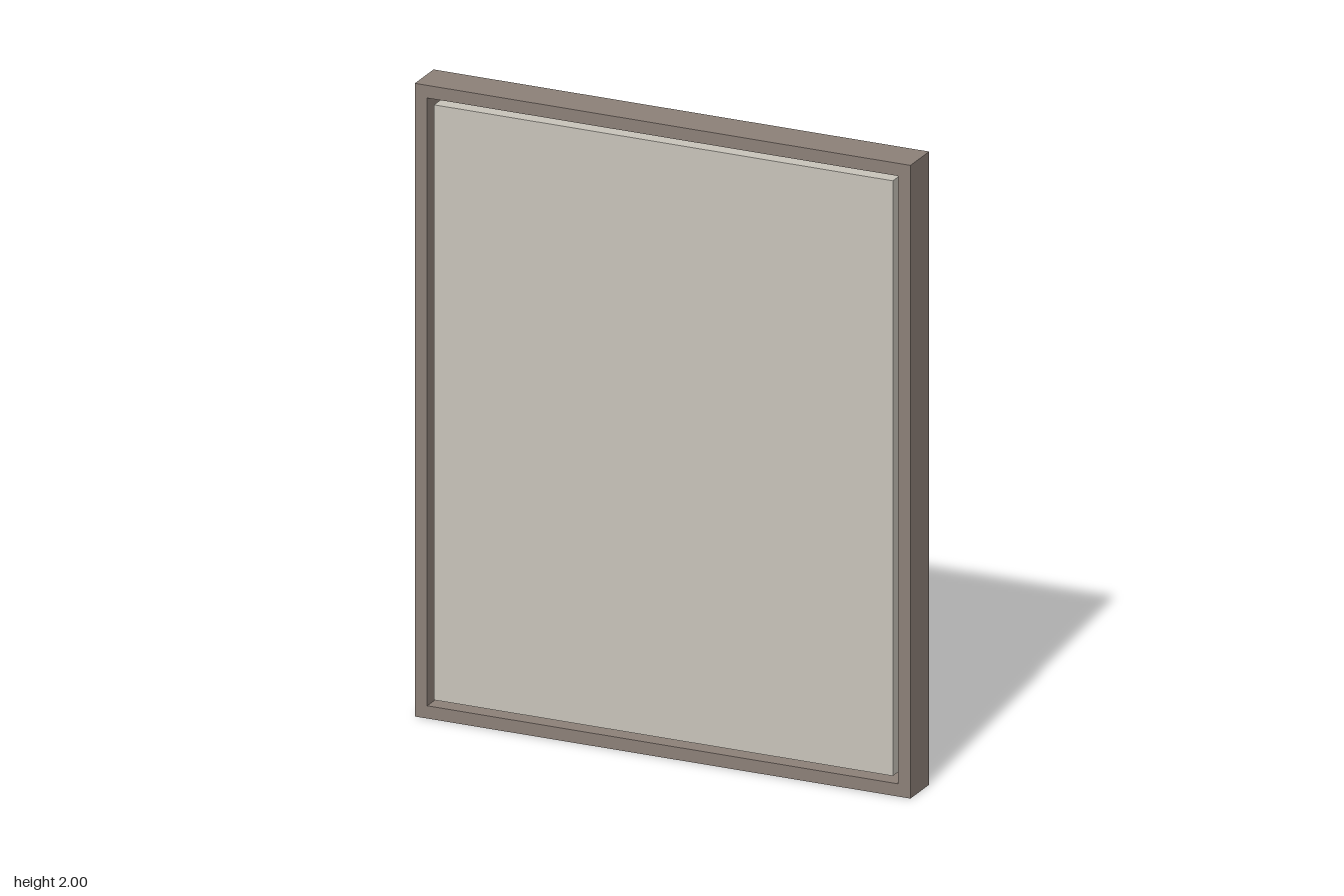
import * as THREE from 'three';

const material = (name, color, side = THREE.FrontSide) => {
  const m = new THREE.MeshStandardMaterial({ color, side });
  m.name = name;
  return m;
};

// Sweeps a closed profile of [inset, z] points around a rectangle with mitred corners.
// Profile order: front from outside to inside, then the inner wall, the back, the outer wall.
function mitredRing(halfW, halfH, profile) {
  const corners = [[1, 1], [-1, 1], [-1, -1], [1, -1]];
  const at = ([sx, sy], [inset, z]) => [sx * (halfW - inset), sy * (halfH - inset), z];
  const positions = [];
  profile.forEach((a, i) => {
    const b = profile[(i + 1) % profile.length];
    corners.forEach((c0, k) => {
      const c1 = corners[(k + 1) % 4];
      positions.push(...at(c0, a), ...at(c1, a), ...at(c1, b));
      positions.push(...at(c0, a), ...at(c1, b), ...at(c0, b));
    });
  });
  const geometry = new THREE.BufferGeometry();
  geometry.setAttribute('position', new THREE.Float32BufferAttribute(positions, 3));
  geometry.computeVertexNormals();
  return geometry;
}

function addMesh(parent, name, geometry, mat, x = 0, y = 0, z = 0) {
  const mesh = new THREE.Mesh(geometry, mat);
  mesh.name = name;
  mesh.position.set(x, y, z);
  parent.add(mesh);
  return mesh;
}

// Wall hanger: two screwed end pads joined by a thin bowed strap (lies along x, rises along y)
function createHanger(metal) {
  const hanger = new THREE.Group();
  hanger.name = 'hanger';
  const bow = new THREE.Shape();
  bow.moveTo(-0.06, 0.001);
  bow.bezierCurveTo(-0.035, 0.008, 0.035, 0.008, 0.06, 0.001);
  bow.lineTo(0.06, 0.0025);
  bow.bezierCurveTo(0.035, 0.0088, -0.035, 0.0088, -0.06, 0.0025);
  const strap = new THREE.ExtrudeGeometry(bow, { depth: 0.012, bevelEnabled: false, curveSegments: 10 });
  strap.translate(0, 0, -0.006);
  addMesh(hanger, 'hangerStrap', strap, metal);
  for (const side of [-1, 1]) {
    addMesh(hanger, 'hangerPad', new THREE.BoxGeometry(0.032, 0.003, 0.026), metal, side * 0.071, 0.0015, 0);
    addMesh(hanger, 'screwHead', new THREE.CylinderGeometry(0.005, 0.007, 0.003, 16), metal, side * 0.071, 0.0045, 0);
  }
  return hanger;
}

export function createModel() {
  const frameMat = material('frame taupe', 0x8c8078);
  const canvasMat = material('canvas off-white', 0xc8c4ba);
  const woodMat = material('stretcher wood', 0xc8ad86);
  const metalMat = material('hanger metal', 0xc4c3be);

  const model = new THREE.Group();
  model.name = 'framedCanvas';
  const midY = 1;
  const front = 0.068, back = -0.061, ledge = -0.027;

  // Floating frame: L-shaped section with a narrow front lip and a wide back ledge
  addMesh(model, 'frame', mitredRing(0.81, 1, [
    [0, front], [0.04, front], [0.04, ledge], [0.155, ledge], [0.155, back], [0, back],
  ]), frameMat, 0, midY);

  // Wooden stretcher bars resting on the ledge
  addMesh(model, 'stretcher', mitredRing(0.745, 0.935, [
    [0, 0.058], [0.14, 0.058], [0.14, ledge], [0, ledge],
  ]), woodMat, 0, midY);

  // Canvas front and its wrapped edges
  addMesh(model, 'canvas', new THREE.BoxGeometry(1.5, 1.88, 0.005), canvasMat, 0, midY, 0.0605);
  addMesh(model, 'canvasEdges', mitredRing(0.75, 0.94, [
    [0, 0.058], [0.005, 0.058], [0.005, ledge], [0, ledge],
  ]), canvasMat, 0, midY);

  // Hangers on the back: two along the top, one upright on the side
  for (const [x, y, upright] of [[-0.405, 1.932, false], [0.405, 1.932, false], [-0.748, 1, true]]) {
    const mount = new THREE.Group();
    mount.name = upright ? 'sideHanger' : 'topHanger';
    const hanger = createHanger(metalMat);
    hanger.rotation.x = -Math.PI / 2;
    mount.add(hanger);
    mount.position.set(x, y, back);
    if (upright) mount.rotation.z = Math.PI / 2;
    model.add(mount);
  }
  return model;
}
